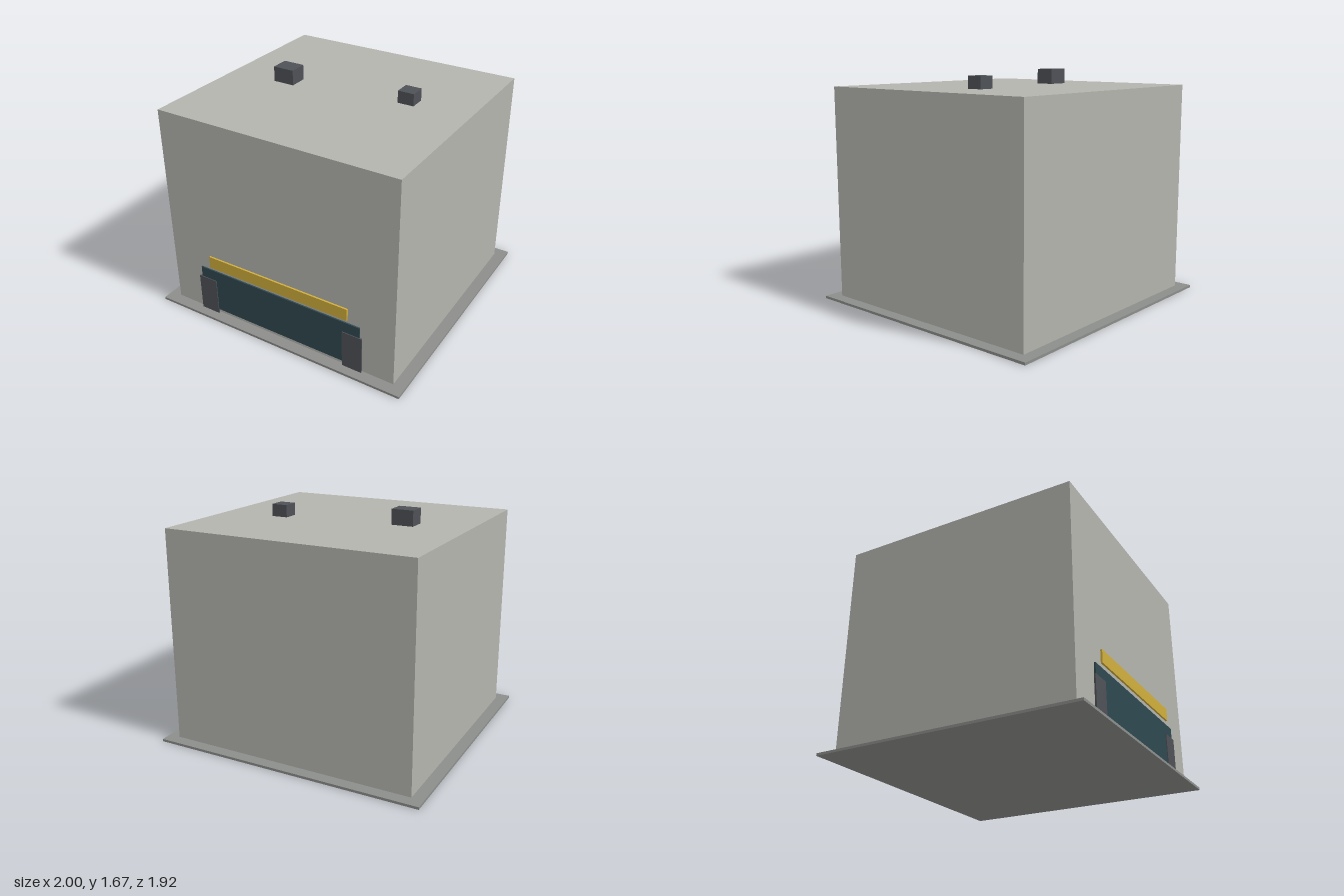
import * as THREE from 'three';

const mat = (color) => new THREE.MeshStandardMaterial({ color });

export function createModel() {
  const group = new THREE.Group();
  const concrete = mat(0xb4b4ae);
  const paving = mat(0x8c8e8b);
  const glass = mat(0x2f4850);
  const yellow = mat(0xd0ae3c);
  const dark = mat(0x4e5156);

  // Box given by its [min, max] range on each axis
  const box = (name, material, [x0, x1], [y0, y1], [z0, z1]) => {
    const mesh = new THREE.Mesh(new THREE.BoxGeometry(x1 - x0, y1 - y0, z1 - z0), material);
    mesh.name = name;
    mesh.position.set((x0 + x1) / 2, (y0 + y1) / 2, (z0 + z1) / 2);
    group.add(mesh);
  };

  // Base and main block
  box('pavementSlab', paving, [-1, 1], [0, 0.018], [-0.96, 0.96]);
  box('buildingBlock', concrete, [-0.915, 0.915], [0.018, 1.56], [-0.876, 0.876]);

  // Shopfront: window, sign board standing off the wall, and side piers
  box('shopWindow', glass, [-0.66, 0.66], [0.05, 0.385], [0.878, 0.889]);
  box('signBoard', yellow, [-0.57, 0.57], [0.415, 0.507], [0.885, 0.898]);
  for (const [side, s] of [['left', 1], ['right', -1]]) {
    const xs = [0.53 * s, 0.68 * s].sort((a, b) => a - b);
    box(side + 'Pier', dark, xs, [0.018, 0.305], [0.884, 0.895]);
  }

  // Rooftop units
  box('largeRoofUnit', dark, [-0.54, -0.38], [1.56, 1.67], [-0.067, 0.067]);
  box('smallRoofUnit', dark, [0.395, 0.515], [1.56, 1.648], [-0.168, -0.052]);

  return group;
}
